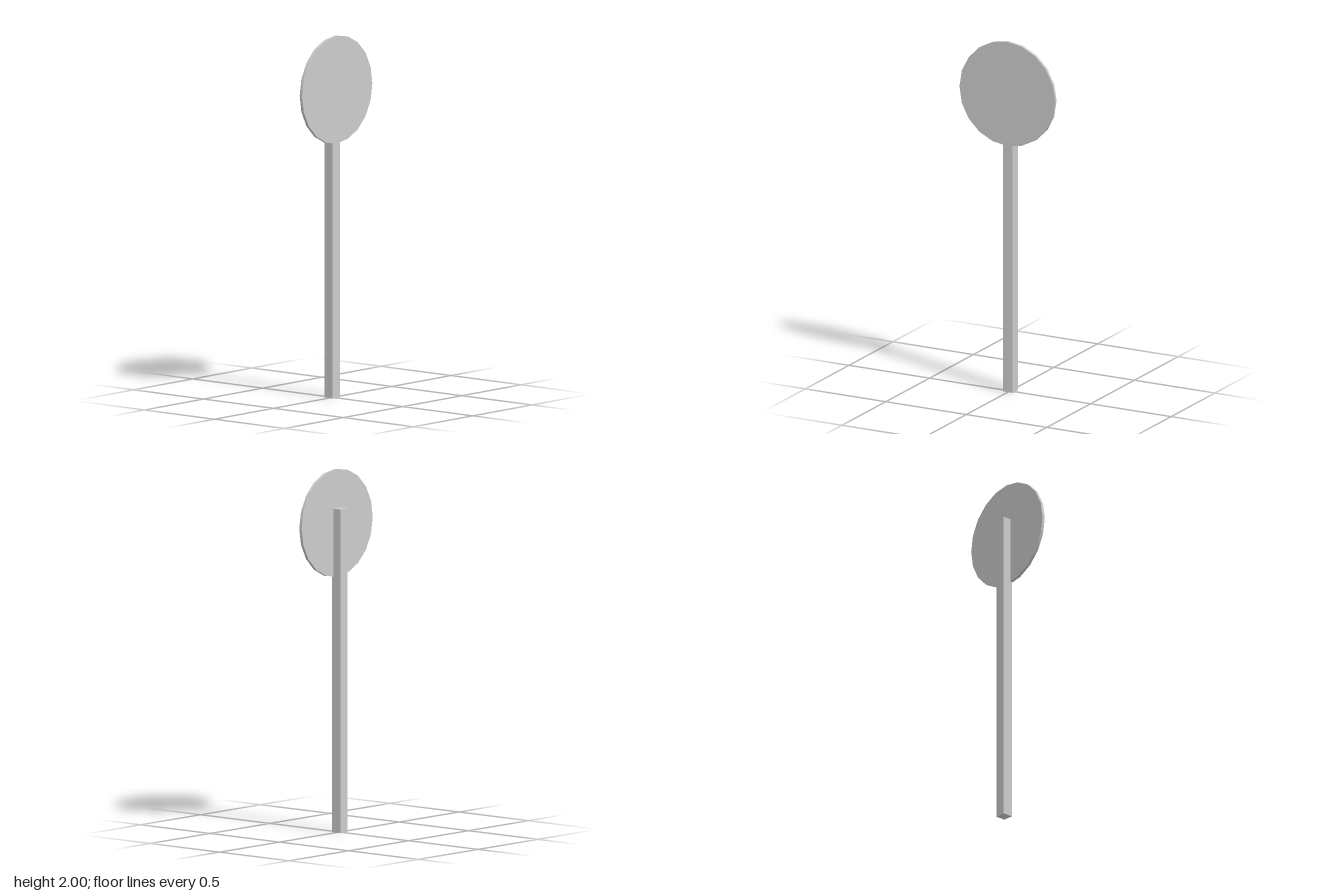
import * as THREE from 'three';

export function createModel() {
  const group = new THREE.Group();
  const material = new THREE.MeshStandardMaterial({ color: 0xcccccc });

  const addPart = (name, geometry, x, y, z) => {
    const mesh = new THREE.Mesh(geometry, material);
    mesh.name = name;
    mesh.position.set(x, y, z);
    group.add(mesh);
  };

  // Square post, its front face sunk into the disc
  const postHeight = 1.785;
  addPart('post', new THREE.BoxGeometry(0.06, postHeight, 0.06), 0, postHeight / 2, -0.005);

  // Thin round sign plate facing forward
  const radius = 0.297;
  const disc = new THREE.CylinderGeometry(radius, radius, 0.017, 20).rotateX(Math.PI / 2);
  addPart('signDisc', disc, 0, 2 - radius, 0.0235);

  return group;
}
